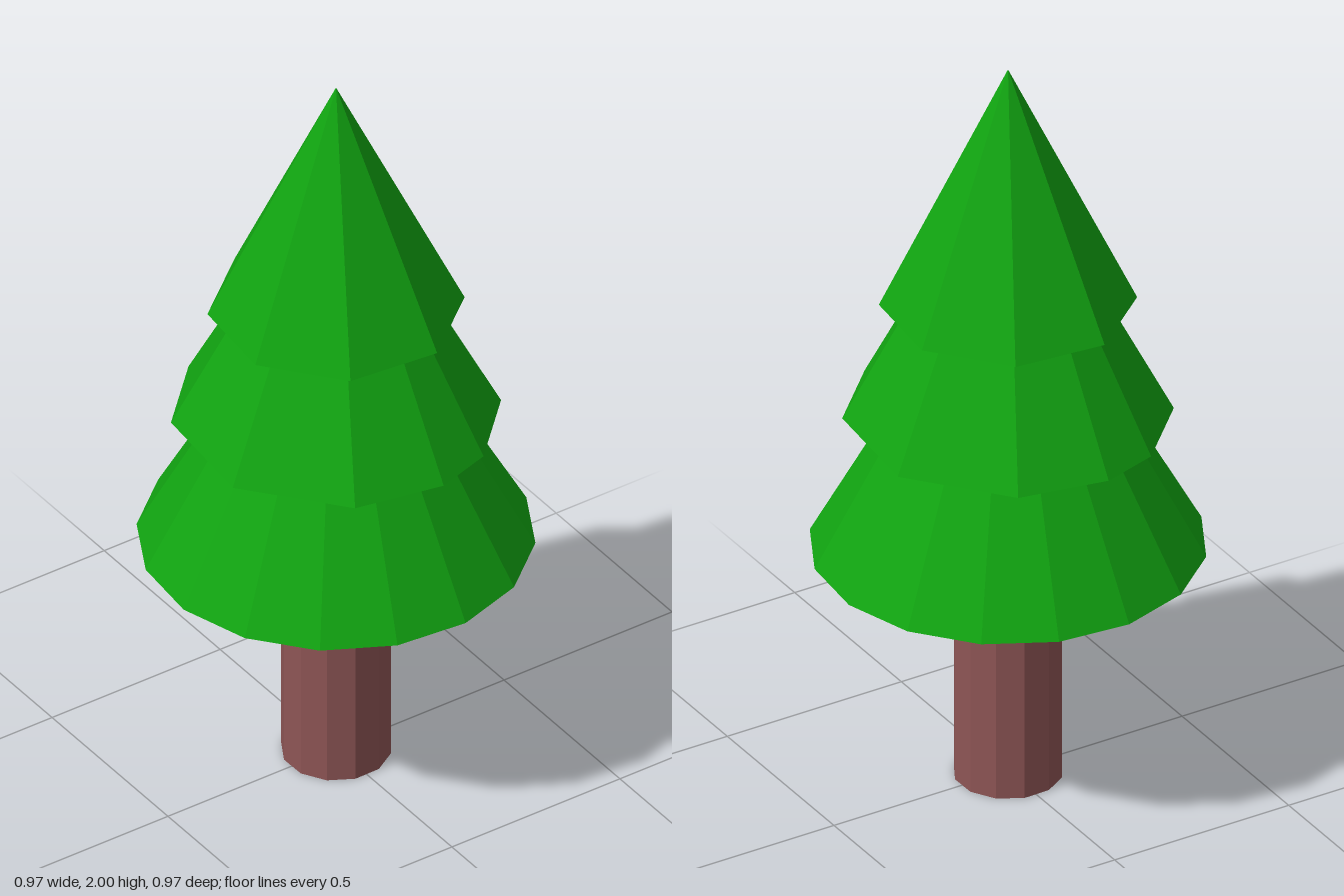
import * as THREE from 'three';

const DEG = Math.PI / 180;

// Evenly spaced corner angles in degrees, measured from +z towards +x
const evenAngles = (count, start) => Array.from({ length: count }, (_, i) => start + (i * 360) / count);

// Joins rings of equal corner count, given as [radius, y] from bottom to top
function stackRings(angles, rings) {
  const positions = [];
  const point = ([radius, y], a) => [radius * Math.sin(a * DEG), y, radius * Math.cos(a * DEG)];
  for (let r = 0; r < rings.length - 1; r++) {
    const low = rings[r], high = rings[r + 1];
    angles.forEach((a, i) => {
      const b = angles[(i + 1) % angles.length];
      if (low[0] > 0) positions.push(...point(low, a), ...point(low, b), ...point(high, b));
      if (high[0] > 0) positions.push(...point(low, a), ...point(high, b), ...point(high, a));
    });
  }
  const geometry = new THREE.BufferGeometry();
  geometry.setAttribute('position', new THREE.Float32BufferAttribute(positions, 3));
  geometry.computeVertexNormals();
  return geometry;
}

export function createModel() {
  const tree = new THREE.Group();
  tree.name = 'pineTree';

  const needleGreen = new THREE.MeshStandardMaterial({ name: 'needle green', color: 0x11a411, flatShading: true });
  const barkBrown = new THREE.MeshStandardMaterial({ name: 'bark brown', color: 0x8e5555, flatShading: true });

  const add = (name, geometry, material) => {
    const mesh = new THREE.Mesh(geometry, material);
    mesh.name = name;
    tree.add(mesh);
  };

  // Trunk, closed at the bottom
  add('trunk', stackRings(evenAngles(12, 16), [[0, 0], [0.136, 0], [0.136, 0.66]]), barkBrown);

  // Lower branches: sixteen sides with a flat underside
  add('lowerBranches', stackRings(evenAngles(16, 5.8), [[0, 0.65], [0.49, 0.65], [0.288, 1.02]]), needleGreen);

  // Middle branches: an octagon with its front and back corners cut off
  const halfTurn = [5.8, 28, 62, 107, 152];
  const middleAngles = [...halfTurn, ...halfTurn.map((a) => a + 180)];
  add('middleBranches', stackRings(middleAngles, [[0.27, 1.02], [0.407, 1.02], [0.24, 1.34]]), needleGreen);

  // Pointed top: eight sides
  add('topBranches', stackRings(evenAngles(8, 16.8), [[0.21, 1.34], [0.317, 1.34], [0, 2]]), needleGreen);

  return tree;
}
